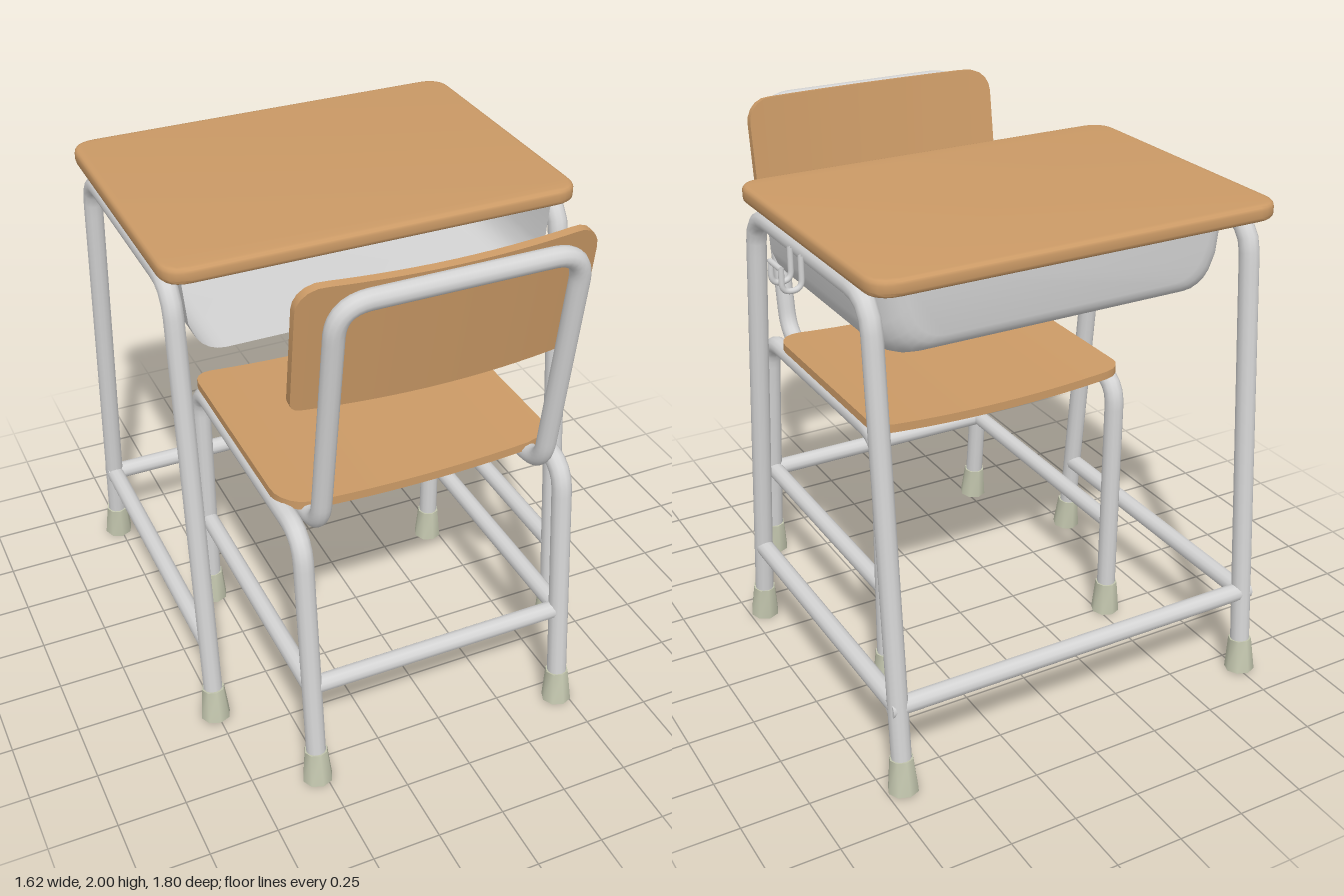
import * as THREE from 'three';
import { toCreasedNormals } from 'three/addons/utils/BufferGeometryUtils.js';

const V = (x, y, z) => new THREE.Vector3(x, y, z);

export function createModel() {
  const model = new THREE.Group();
  const mat = (name, color, side = THREE.FrontSide) => {
    const m = new THREE.MeshStandardMaterial({ color, side });
    m.name = name;
    return m;
  };
  const wood = mat('wood', 0xcb9a66);
  const metal = mat('greyMetal', 0xd4d4d4, THREE.DoubleSide);
  const rubber = mat('rubber', 0xc3c6ae);

  const add = (parent, name, geo, material) => {
    const m = new THREE.Mesh(geo, material);
    m.name = name;
    parent.add(m);
    return m;
  };

  // Tube through corner points, each corner rounded by the given distance
  const pipe = (parent, name, pts, r, bend = 0.1, segs = 90) => {
    const path = new THREE.CurvePath();
    let from = pts[0];
    for (let i = 1; i < pts.length - 1; i++) {
      const a = pts[i].clone().add(pts[i - 1].clone().sub(pts[i]).setLength(bend));
      const b = pts[i].clone().add(pts[i + 1].clone().sub(pts[i]).setLength(bend));
      path.add(new THREE.LineCurve3(from, a));
      path.add(new THREE.QuadraticBezierCurve3(a, pts[i], b));
      from = b;
    }
    path.add(new THREE.LineCurve3(from, pts[pts.length - 1]));
    return add(parent, name, new THREE.TubeGeometry(path, segs, r, 12), metal);
  };

  // Straight bar with closed ends
  const bar = (parent, name, a, b, r) => {
    const m = add(parent, name, new THREE.CylinderGeometry(r, r, a.distanceTo(b), 12), metal);
    m.position.copy(a).add(b).multiplyScalar(0.5);
    m.quaternion.setFromUnitVectors(V(0, 1, 0), b.clone().sub(a).normalize());
  };

  // Rubber foot lined up with its leg
  const foot = (parent, x, z, lean) => {
    const m = add(parent, 'rubberFoot', toCreasedNormals(new THREE.CylinderGeometry(0.043, 0.056, 0.13, 8), 0.9), rubber);
    m.position.set(x, 0.072, z);
    m.rotation.x = lean;
  };

  // Plywood panel with rounded corners, bowed across its width
  const panel = (w, h, t, rTop, rBottom, bow) => {
    const geo = new THREE.BoxGeometry(2, 2, t, 24, 1, 1);
    const p = geo.attributes.position;
    for (let i = 0; i < p.count; i++) {
      const x = (w / 2) * Math.sin((p.getX(i) * Math.PI) / 2);
      const up = Math.sign(p.getY(i));
      const r = up > 0 ? rTop : rBottom;
      const over = Math.max(0, Math.abs(x) - (w / 2 - r));
      const y = h / 2 - r + Math.sqrt(Math.max(0, r * r - over * over));
      p.setXYZ(i, x, up * y, p.getZ(i) + bow * (1 - (2 * x / w) ** 2));
    }
    return toCreasedNormals(geo, 0.6);
  };

  // ---- Desk ----
  const desk = new THREE.Group();
  desk.name = 'desk';
  model.add(desk);
  const deskX = [-0.757, 0.69];
  const cx = -0.034;

  // Table top with bevelled edges
  const b = 0.018, hw = 0.765 - b, hd = 0.55 - b, c = 0.075;
  const s = new THREE.Shape();
  s.moveTo(-hw + c, -hd);
  s.lineTo(hw - c, -hd).quadraticCurveTo(hw, -hd, hw, -hd + c);
  s.lineTo(hw, hd - c).quadraticCurveTo(hw, hd, hw - c, hd);
  s.lineTo(-hw + c, hd).quadraticCurveTo(-hw, hd, -hw, hd - c);
  s.lineTo(-hw, -hd + c).quadraticCurveTo(-hw, -hd, -hw + c, -hd);
  const topGeo = new THREE.ExtrudeGeometry(s, {
    depth: 0.06 - 2 * b, bevelSize: b, bevelThickness: b, bevelSegments: 3, curveSegments: 6,
  });
  const top = add(desk, 'tableTop', toCreasedNormals(topGeo, 0.6), wood);
  top.rotation.x = -Math.PI / 2;
  top.position.set(cx, 1.8 + b, -0.25);

  // Side frames, feet and low rails
  for (const x of deskX) {
    pipe(desk, 'deskSideFrame', [V(x, 0.05, 0.385), V(x, 1.765, 0.22), V(x, 1.765, -0.682), V(x, 0.05, -0.84)], 0.036, 0.12);
    foot(desk, x, 0.385, -0.095);
    foot(desk, x, -0.838, 0.09);
    bar(desk, 'deskSideRail', V(x, 0.335, 0.345), V(x, 0.335, -0.815), 0.034);
  }
  bar(desk, 'deskBackRail', V(deskX[0] - 0.03, 0.335, -0.812), V(deskX[1] + 0.03, 0.335, -0.812), 0.034);

  // Open-fronted book tray: U sections from front to back, closed by the back wall
  const sections = [[0.225, 0], [-0.1, 0], [-0.42, 0]];
  for (let i = 1; i <= 6; i++) {
    const a = (i / 6) * Math.PI / 2;
    sections.push([-0.5 - 0.15 * Math.sin(a), 0.1 * (1 - Math.cos(a))]);
  }
  const profile = (inset) => {
    const wTop = 0.69 - inset, wLow = 0.665 - inset, low = 1.495 + inset * 0.8, r = 0.12;
    const half = [[wTop, 1.8], [wLow + 0.008, low + r]];
    for (let i = 1; i <= 6; i++) {
      const a = (i / 6) * Math.PI / 2;
      half.push([wLow - r * (1 - Math.cos(a)), low + r * (1 - Math.sin(a))]);
    }
    return [...half, ...half.slice().reverse().map(([x, y]) => [-x, y])];
  };
  const pos = [], idx = [];
  const n = profile(0).length;
  sections.forEach(([z, inset], k) => {
    for (const [x, y] of profile(inset)) pos.push(cx + x, y, z);
    if (!k) return;
    for (let j = 0; j < n - 1; j++) {
      const p = (k - 1) * n + j, q = k * n + j;
      idx.push(p, p + 1, q, p + 1, q + 1, q);
    }
  });
  const last = (sections.length - 1) * n;
  for (let j = 1; j < n - 1; j++) idx.push(last, last + j, last + j + 1);
  const trayGeo = new THREE.BufferGeometry();
  trayGeo.setAttribute('position', new THREE.Float32BufferAttribute(pos, 3));
  trayGeo.setIndex(idx);
  add(desk, 'bookTray', toCreasedNormals(trayGeo, 0.7), metal);

  // Double wire bag hook on the left side
  const hz = [-0.17, -0.258];
  const prong = (z) => [V(0.73, 1.77, z), V(0.73, 1.655, z), V(0.8, 1.655, z), V(0.8, 1.74, z)];
  for (const z of hz) pipe(desk, 'bagHook', prong(z), 0.01, 0.034, 40);
  bar(desk, 'bagHookLink', V(0.8, 1.735, hz[0]), V(0.8, 1.735, hz[1]), 0.01);

  // ---- Chair ----
  const chair = new THREE.Group();
  chair.name = 'chair';
  model.add(chair);
  const chairX = [-0.53, 0.46];

  // Side frames, feet and low rails
  for (const x of chairX) {
    pipe(chair, 'chairSideFrame', [V(x, 0.05, 0.832), V(x, 1.035, 0.737), V(x, 1.035, -0.255), V(x, 0.05, -0.26)], 0.036, 0.11);
    foot(chair, x, 0.83, -0.095);
    foot(chair, x, -0.26, 0);
    bar(chair, 'chairSideRail', V(x, 0.415, 0.795), V(x, 0.415, -0.255), 0.033);
  }
  bar(chair, 'chairBackRail', V(chairX[0], 0.415, 0.79), V(chairX[1], 0.415, 0.79), 0.033);

  // Back hoop continuing under the seat
  const [l, r] = [-0.455, 0.388];
  pipe(chair, 'backHoop', [
    V(l, 1.035, -0.18), V(l, 1.035, 0.715), V(l, 1.957, 0.862),
    V(r, 1.957, 0.862), V(r, 1.035, 0.715), V(r, 1.035, -0.18),
  ], 0.035, 0.115, 180);

  // Seat, dished in the middle
  const seat = add(chair, 'seat', panel(1.04, 0.9, 0.032, 0.07, 0.11, -0.026), wood);
  seat.rotation.x = -Math.PI / 2;
  seat.position.set(-0.033, 1.077, 0.18);

  // Backrest, curved around the sitter and leaning back
  const rest = add(chair, 'backrest', panel(1.04, 0.475, 0.03, 0.09, 0.03, -0.045), wood);
  rest.rotation.set(-0.155, Math.PI, 0, 'XYZ');
  rest.rotation.x = 0.155;
  rest.position.set(-0.033, 1.765, 0.74);

  return model;
}
